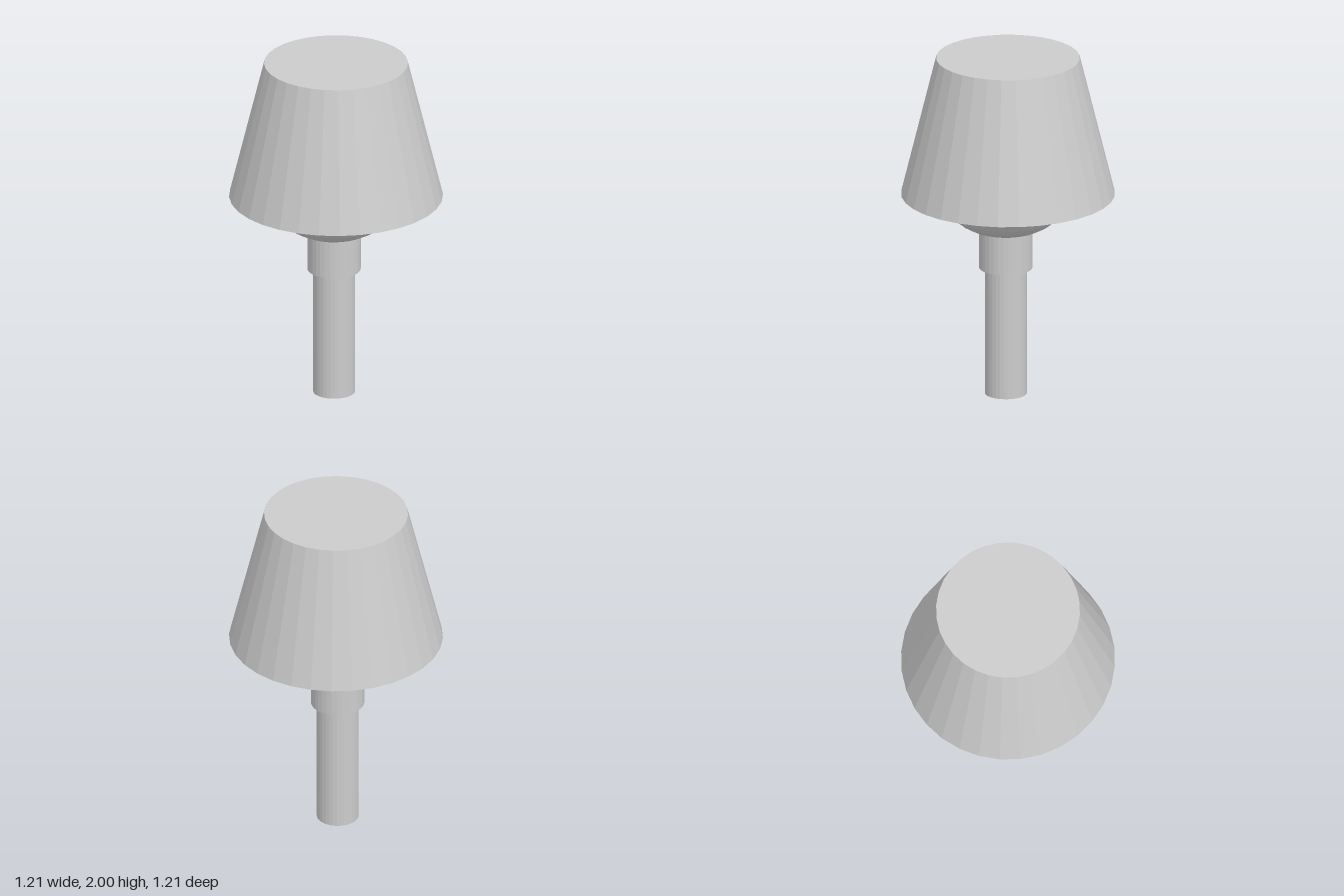
import * as THREE from 'three';

const SIDES = 32;

export function createModel() {
  const model = new THREE.Group();
  const material = new THREE.MeshStandardMaterial({ color: 0xcccccc, flatShading: true });

  const add = (name, geometry, y, z) => {
    const mesh = new THREE.Mesh(geometry, material);
    mesh.name = name;
    mesh.position.set(0, y, z);
    model.add(mesh);
    return mesh;
  };
  // Upright cylinder between two heights
  const post = (name, radius, bottom, top, z) =>
    add(name, new THREE.CylinderGeometry(radius, radius, top - bottom, SIDES), (bottom + top) / 2, z);

  // Stem, collar and bulb sit slightly forward of the shade
  const z = 0.016;
  post('stem', 0.119, 0, 0.76, z);
  post('collar', 0.151, 0.748, 0.972, z);
  add('bulb', new THREE.SphereGeometry(0.364, SIDES, 16), 1.19, z).scale.y = 0.24 / 0.364;
  post('shadeSupport', 0.05, 1.4, 1.95, z);

  // Thick tapered shade: hollow below, closed on top
  const profile = [
    [0, 1.93], [0.36, 1.93], [0.541, 1.191], [0.605, 1.191], [0.407, 2], [0, 2],
  ].map(([r, y]) => new THREE.Vector2(r, y));
  add('shade', new THREE.LatheGeometry(profile, SIDES), 0, 0);

  return model;
}
